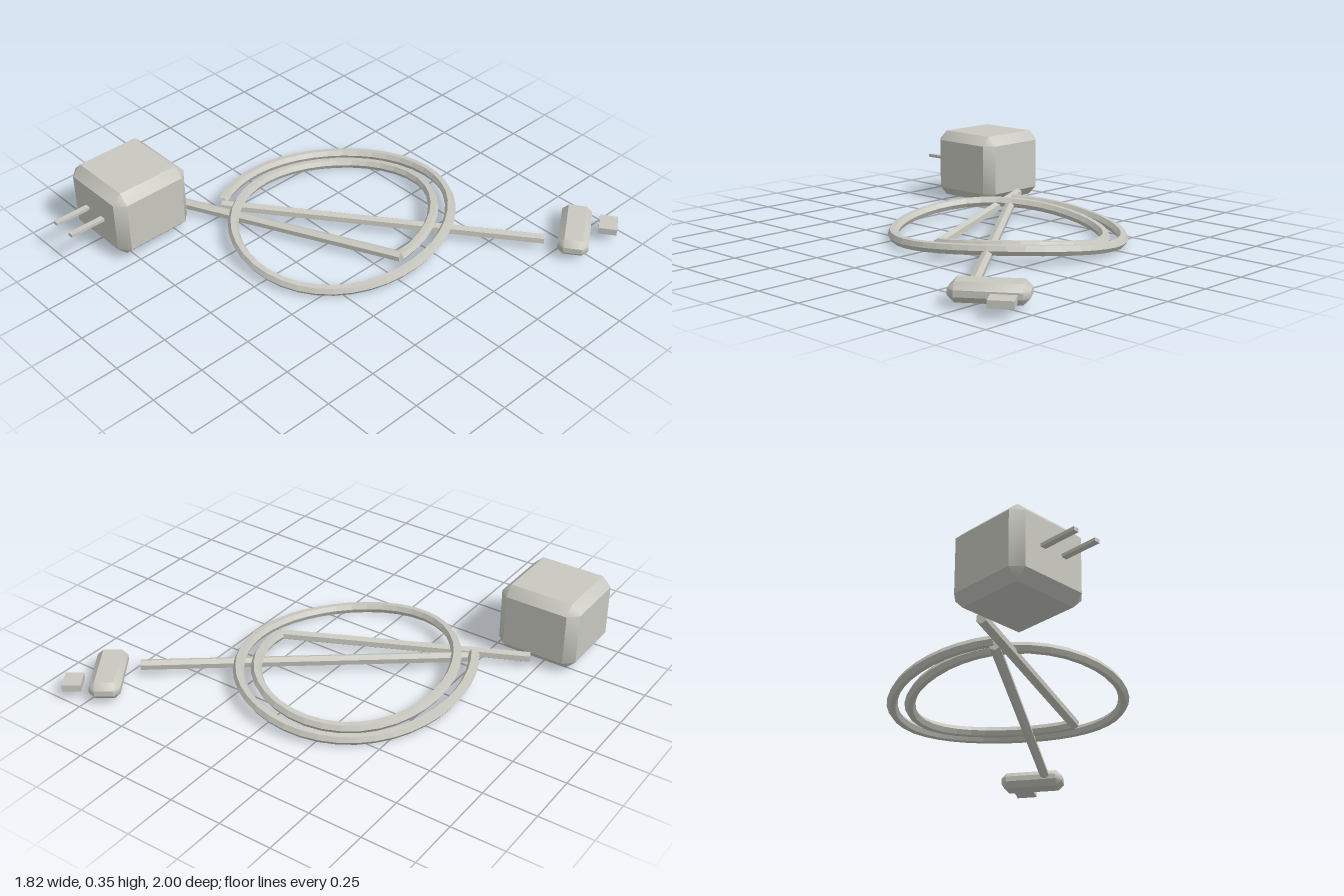
import * as THREE from 'three';
import { toCreasedNormals } from 'three/addons/utils/BufferGeometryUtils.js';
import { ConvexGeometry } from 'three/addons/geometries/ConvexGeometry.js';

const grey = new THREE.MeshStandardMaterial({ color: 0xc8c8c0 });
const V = (x, y, z) => new THREE.Vector3(x, y, z);
const CABLE_RADIUS = 0.025;

function add(group, name, geometry, x = 0, y = 0, z = 0) {
  const mesh = new THREE.Mesh(geometry, grey);
  mesh.name = name;
  mesh.position.set(x, y, z);
  group.add(mesh);
  return mesh;
}

// Box with 45 degree chamfers; chamfers blend into the corners, faces stay flat
function chamferBox(w, h, d, c) {
  const points = [];
  for (const i of [-1, 1]) for (const j of [-1, 1]) for (const k of [-1, 1]) {
    const x = w / 2, y = h / 2, z = d / 2;
    points.push(
      V(i * x, j * (y - c), k * (z - c)),
      V(i * (x - c), j * y, k * (z - c)),
      V(i * (x - c), j * (y - c), k * z));
  }
  return toCreasedNormals(new ConvexGeometry(points), 0.7);
}

// Faceted straight cable between two points
function straightCable(group, name, a, b) {
  const geometry = new THREE.CylinderGeometry(CABLE_RADIUS, CABLE_RADIUS, a.distanceTo(b), 6).toNonIndexed();
  geometry.computeVertexNormals();
  const mesh = add(group, name, geometry);
  mesh.position.copy(a).add(b).multiplyScalar(0.5);
  mesh.quaternion.setFromUnitVectors(V(0, 1, 0), b.clone().sub(a).normalize());
}

// Growing oval coil that waves up and down twice per turn
class Coil extends THREE.Curve {
  getPoint(u, target = new THREE.Vector3()) {
    const t = u * 1.6, angle = t * Math.PI * 2;
    return target.set(
      -0.0725 + (0.4075 + 0.08 * t) * Math.cos(angle),
      0.05 + 0.025 * Math.sin(2 * angle),
      -0.0815 - (0.4585 + 0.08 * t) * Math.sin(angle));
  }
}

export function createModel() {
  const model = new THREE.Group();
  model.name = 'wallChargerWithCable';

  // Power adapter with two prongs
  const adapter = new THREE.Group();
  adapter.name = 'adapter';
  model.add(adapter);
  add(adapter, 'adapterBody', chamferBox(0.395, 0.337, 0.395, 0.045), -0.716, 0.186, 0.627);
  for (const x of [-0.775, -0.66])
    add(adapter, 'prong', new THREE.BoxGeometry(0.026, 0.015, 0.2), x, 0.186, 0.9);

  // Cable: lead from the adapter, coil, lead to the plug
  const cable = new THREE.Group();
  cable.name = 'cable';
  model.add(cable);
  const coil = new Coil();
  straightCable(cable, 'adapterLead', V(-0.715, 0.05, 0.415), coil.getPoint(0));
  const coilGeometry = new THREE.TubeGeometry(coil, 64, CABLE_RADIUS, 6).toNonIndexed();
  coilGeometry.computeVertexNormals();
  add(cable, 'coil', coilGeometry);
  straightCable(cable, 'plugLead', V(-0.505, 0.055, 0.265), V(0.7, 0.05, -0.65));

  // Device plug and its contact tip, turned to follow the cable
  const plug = new THREE.Group();
  plug.name = 'plug';
  plug.position.set(0.76, 0.06, -0.795);
  plug.rotation.y = -0.964;
  model.add(plug);
  add(plug, 'plugBody', chamferBox(0.32, 0.083, 0.14, 0.028));
  add(plug, 'plugTip', new THREE.BoxGeometry(0.103, 0.032, 0.084), -0.067, 0, -0.148);

  return model;
}
